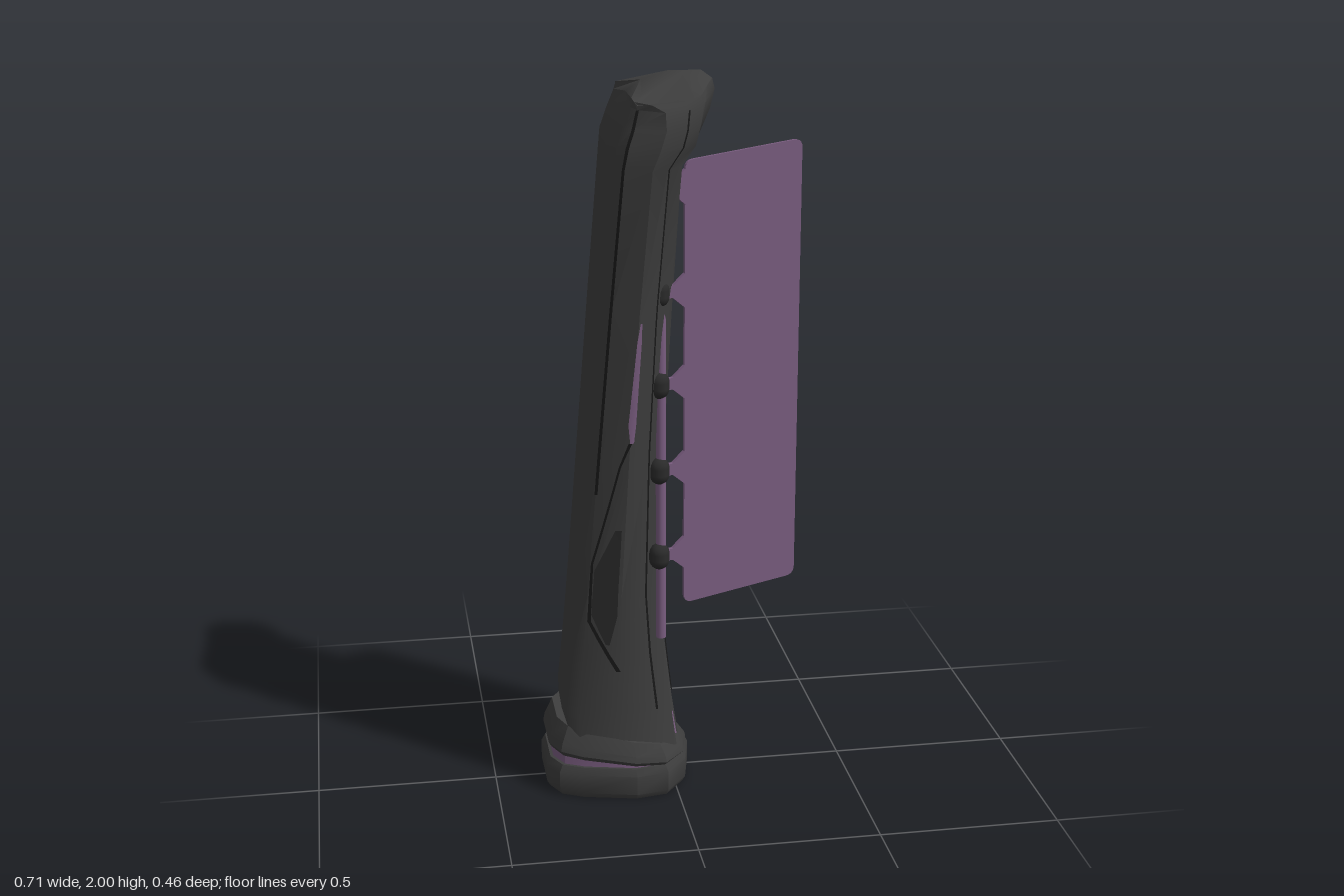
import * as THREE from 'three';
import { toCreasedNormals } from 'three/addons/utils/BufferGeometryUtils.js';

const mat = (name, color) => {
  const m = new THREE.MeshStandardMaterial({ color });
  m.name = name;
  return m;
};

// Body heights: y, back x, front floor x, rim x, half width, edge drop, crest sweep, front point
const ROWS = [
  [0.12, -0.30, 0.02, 0.005, 0.165, 0, 0, 0],
  [0.25, -0.305, 0.0, -0.012, 0.16, 0, 0, 0],
  [0.42, -0.287, -0.02, -0.032, 0.164, 0, 0, 0],
  [0.6, -0.27, -0.033, -0.045, 0.172, 0, 0, 0],
  [1.0, -0.235, -0.022, -0.038, 0.19, 0, 0, 0],
  [1.4, -0.2, 0.0, -0.02, 0.21, 0, 0, 0],
  [1.78, -0.166, 0.025, 0.01, 0.229, 0, 0, 0],
  [1.83, -0.161, 0.08, 0.045, 0.232, 0, 0, 0.025],
  [1.9, -0.142, 0.11, 0.06, 0.225, 0.02, 0, 0.025],
  [1.95, -0.11, 0.122, 0.065, 0.215, 0.025, 0.02, 0.025],
  [1.978, -0.07, 0.115, 0.06, 0.205, 0.035, 0.07, 0.025],
  [2.0, 0.0, 0.085, 0.04, 0.185, 0.06, 0.13, 0.025],
];

// Half outline of the body, from the front centre round the left side to the back centre
function outline([y, xb, f, r, w, drop, sweep, k]) {
  const mix = (t) => r + (xb - r) * t;
  const pts = [
    [f, 0], [f - k, 0.3], [f - 0.035 - k * 0.5, 0.6], [r, 0.68], [r - 0.045, 0.9],
    [mix(0.5) - sweep, 1], [mix(0.9) - sweep * 0.85, 0.85], [xb - sweep * 0.7, 0.7], [xb - 0.004, 0],
  ];
  return pts.map(([x, s]) => new THREE.Vector3(x, y - drop * s, s * w));
}

function rowAt(y) {
  let i = 0;
  while (i < ROWS.length - 2 && ROWS[i + 1][0] < y) i++;
  const a = ROWS[i], b = ROWS[i + 1], t = (y - a[0]) / (b[0] - a[0]);
  return a.map((v, j) => v + (b[j] - v) * t);
}

// Point just above the body skin; t counts along the outline points
function skin(y, t, side, lift) {
  const pts = outline(rowAt(y));
  const i = Math.min(Math.floor(t), pts.length - 2);
  const a = pts[i], b = pts[i + 1];
  const p = a.clone().lerp(b, t - i), d = b.clone().sub(a).normalize();
  p.x += d.z * lift;
  p.z = (p.z - d.x * lift) * side;
  return p;
}

function fromTriangles(points, index) {
  const g = new THREE.BufferGeometry().setFromPoints(points);
  g.setIndex(index);
  return toCreasedNormals(g, 0.55);
}

const mirrorRing = (half) => [
  ...half,
  ...half.slice(1, -1).reverse().map((p) => new THREE.Vector3(p.x, p.y, -p.z)),
];

// Closed loft through rings with capped ends
function loft(rings) {
  const n = rings[0].length, pts = rings.flat(), idx = [];
  for (let i = 0; i < rings.length - 1; i++) {
    for (let j = 0; j < n; j++) {
      const a = i * n + j, b = i * n + (j + 1) % n;
      idx.push(a, a + n, b, b, a + n, b + n);
    }
  }
  [0, rings.length - 1].forEach((i) => {
    const ring = rings[i], c = pts.length;
    pts.push(ring[0].clone().lerp(ring[n / 2], 0.5));
    for (let j = 0; j < n; j++) {
      const a = i * n + j, b = i * n + (j + 1) % n;
      if (i === 0) idx.push(c, a, b);
      else idx.push(c, b, a);
    }
  });
  return fromTriangles(pts, idx);
}

// Thin painted strip on the skin, given as [y, tStart, tEnd] stations
function ribbon(stations, side, lift) {
  const pts = [], idx = [], cols = 2, rows = [];
  stations.forEach((s, i) => {
    if (i > 0) {
      const p = stations[i - 1], steps = Math.max(1, Math.ceil((s[0] - p[0]) / 0.06));
      for (let k = 1; k < steps; k++) rows.push(p.map((v, j) => v + (s[j] - v) * k / steps));
    }
    rows.push(s);
  });
  rows.forEach(([y, t0, t1], i) => {
    for (let c = 0; c <= cols; c++) pts.push(skin(y, t0 + (t1 - t0) * c / cols, side, lift));
    if (i === 0) return;
    for (let c = 0; c < cols; c++) {
      const a = (i - 1) * (cols + 1) + c, b = a + 1, u = a + cols + 1, v = u + 1;
      if (side > 0) idx.push(a, u, b, b, u, v);
      else idx.push(a, b, u, b, v, u);
    }
  });
  return fromTriangles(pts, idx);
}

// Flat plate with softened corners
function plate(corners, round, depth) {
  const v = corners.map(([x, y]) => new THREE.Vector2(x, y)), s = new THREE.Shape();
  v.forEach((p, i) => {
    const before = v[(i + v.length - 1) % v.length], after = v[(i + 1) % v.length];
    const a = p.clone().add(before.clone().sub(p).setLength(round));
    const b = p.clone().add(after.clone().sub(p).setLength(round));
    if (i === 0) s.moveTo(a.x, a.y);
    else s.lineTo(a.x, a.y);
    s.quadraticCurveTo(p.x, p.y, b.x, b.y);
  });
  s.closePath();
  const g = new THREE.ExtrudeGeometry(s, { depth, bevelEnabled: false, curveSegments: 5 });
  return g.translate(0, 0, -depth / 2);
}

export function createModel() {
  const group = new THREE.Group();
  const shell = mat('charcoal shell', 0x3d3d3d);
  const dark = mat('dark trim', 0x2a2a2a);
  const seam = mat('seam black', 0x181818);
  const purple = mat('muted purple', 0x7a5d80);
  const add = (name, geo, m, parent = group) => {
    const mesh = new THREE.Mesh(geo, m);
    mesh.name = name;
    parent.add(mesh);
    return mesh;
  };

  // Leaning body with hooded top
  add('body', loft(ROWS.map((r) => mirrorRing(outline(r)))), shell);

  // Foot: plate, purple gap and sloping collar share one outline
  const foot = [[0.055, 0], [0.03, 0.11], [-0.03, 0.185], [-0.12, 0.2], [-0.27, 0.165],
    [-0.33, 0.135], [-0.36, 0.075], [-0.36, 0]];
  const footRing = (s, y, slope = 0) => mirrorRing(foot.map(([x, z]) => {
    const px = -0.15 + (x + 0.15) * s;
    return new THREE.Vector3(px, y - slope * (px + 0.15), z * s);
  }));
  add('footPlate', loft([footRing(0.96, 0), footRing(1, 0.015), footRing(1, 0.07), footRing(0.95, 0.09)]), shell);
  add('footGlow', loft([footRing(0.91, 0.08), footRing(0.91, 0.115, 0.1)]), purple);
  add('footCollar', loft([footRing(0.93, 0.1, 0.1), footRing(0.97, 0.112, 0.11),
    footRing(0.95, 0.13, 0.14), footRing(0.85, 0.168, 0.22)]), shell);

  // Painted details on both sides of the skin
  const details = [
    ['frontStrip', purple, [[0.64, 0, 0.6], [0.68, 0, 0.9], [0.8, 0, 1], [1.74, 0, 1], [1.78, 0, 0.8]]],
    ['lowerPanel', dark, [[0.26, 0, 1], [0.62, 0, 1]]],
    ['lowerPanelEdge', seam, [[0.26, 1, 1.1], [0.62, 1, 1.1]]],
    ['channelGlow', purple, [[0.27, 1.6, 1.9], [0.36, 1.6, 1.9]]],
    ['footTab', purple, [[0.13, 1.25, 1.6], [0.2, 1.25, 1.6]]],
    ['rimSeam', seam, [[0.25, 3.96, 4.03], [1.78, 3.96, 4.03], [1.95, 3.96, 4.03]]],
    ['backSeam', seam, [[0.9, 5.93, 6], [1.78, 5.93, 6], [1.95, 5.93, 6]]],
    ['sideGlow', purple, [[1.05, 4.85, 5], [1.1, 4.8, 5.1], [1.33, 4.8, 5], [1.38, 4.85, 4.95]]],
    ['sideInset', dark, [[0.46, 5.3, 5.4], [0.55, 5.1, 5.85], [0.68, 5.1, 5.85], [0.8, 5.1, 5.3]]],
    ['sideSeamLow', seam, [[0.38, 5.0, 5.12], [0.53, 5.85, 5.95], [0.7, 5.9, 5.97], [0.98, 5.25, 5.32], [1.05, 4.95, 5.05]]],
  ];
  for (const [name, m, stations] of details) {
    for (const side of [1, -1]) {
      add(name + (side > 0 ? 'Left' : 'Right'), ribbon(stations, side, 0.004), m);
    }
  }

  // Hinge rod with barrels
  const rod = add('hingeRod', new THREE.CylinderGeometry(0.014, 0.014, 1.29, 10), purple);
  rod.position.set(-0.045, 1.115, 0.148);

  // Open door on tapered arms
  const door = new THREE.Group();
  door.name = 'door';
  door.position.set(0.02, 0, 0.13);
  door.rotation.y = 0.28;
  group.add(door);
  add('doorPanel', plate([[0, 0.56], [0.343, 0.587], [0.343, 1.82], [0, 1.788]], 0.025, 0.009), purple, door);
  for (const y of [0.71, 0.955, 1.195, 1.445, 1.72]) {
    const barrel = add('hingeBarrel', new THREE.CapsuleGeometry(0.028, 0.018, 4, 12), dark);
    barrel.position.set(-0.05, y, 0.152);
    add('doorArm', plate([[-0.06, y - 0.016], [-0.035, y - 0.016], [0.005, y - 0.05],
      [0.005, y + 0.05], [-0.035, y + 0.016], [-0.06, y + 0.016]], 0.004, 0.012), purple, door);
  }
  return group;
}
